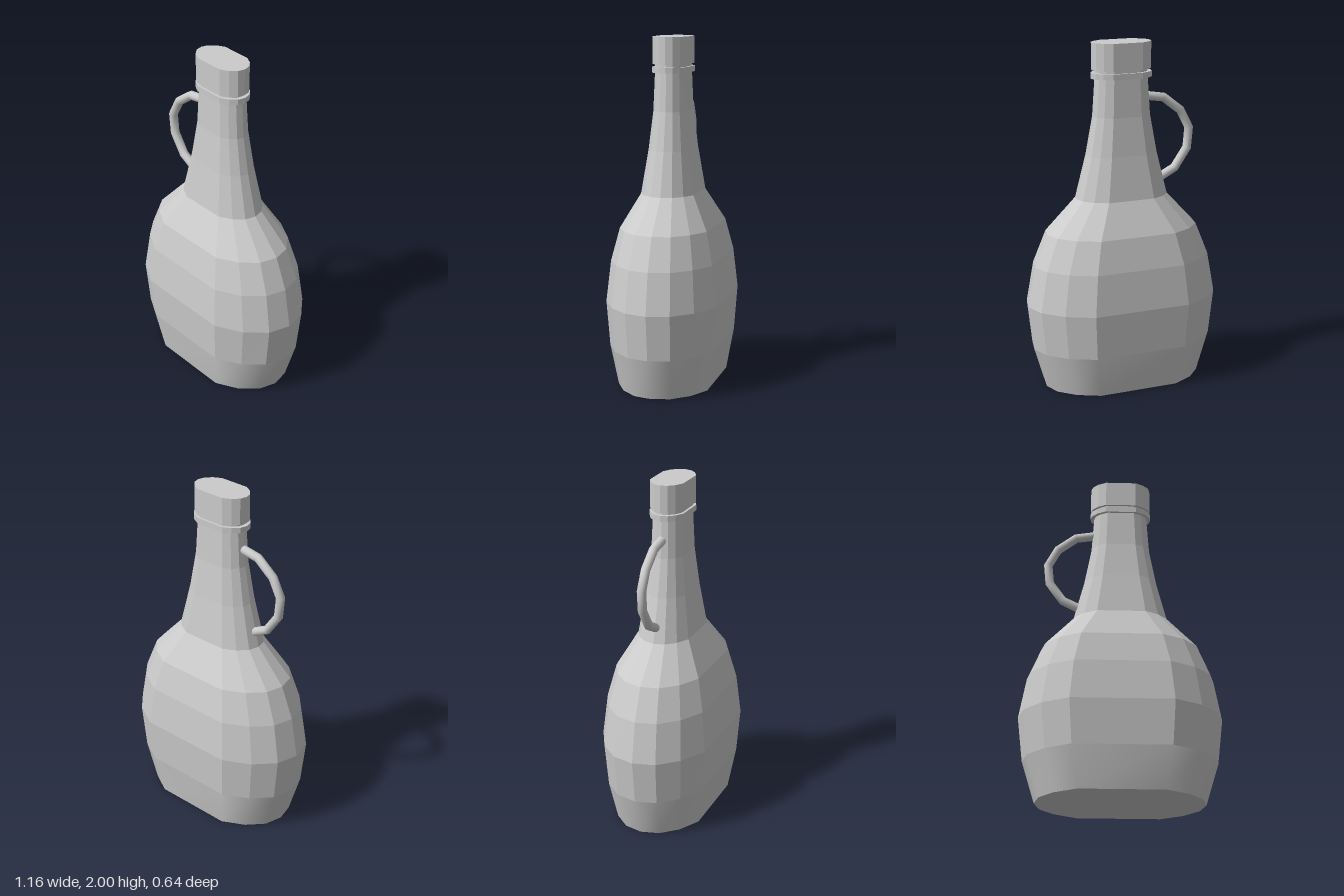
import * as THREE from 'three';

// Quarter of the 14-sided stadium-like cross-section, scaled to half width 1 and half depth 1
const quarter = [[1, 0], [0.943, 0.4], [0.765, 0.745], [0.5, 1]];
const mirrorX = quarter.map(([x, z]) => [-x, z]).reverse();
const front = [...quarter, ...mirrorX];
const section = [...front, ...front.slice(1, -1).reverse().map(([x, z]) => [x, -z])];

// Skins rows of [y, halfWidth, halfDepth] from bottom to top; a row of size 0 closes an end
function loft(rows, smooth = false) {
  const n = section.length;
  const positions = [], index = [];
  for (const [y, w, d] of rows) {
    for (const [x, z] of section) positions.push(x * w, y, z * d);
  }
  for (let r = 0; r < rows.length - 1; r++) {
    for (let i = 0; i < n; i++) {
      const a = r * n + i, b = r * n + (i + 1) % n;
      if (rows[r][1] > 0) index.push(a, a + n, b);
      if (rows[r + 1][1] > 0) index.push(b, a + n, b + n);
    }
  }
  let geometry = new THREE.BufferGeometry();
  geometry.setAttribute('position', new THREE.Float32BufferAttribute(positions, 3));
  geometry.setIndex(index);
  if (!smooth) geometry = geometry.toNonIndexed();
  geometry.computeVertexNormals();
  return geometry;
}

export function createModel() {
  const group = new THREE.Group();
  const material = new THREE.MeshStandardMaterial({ color: 0xcccccc });
  const add = (name, geometry) => {
    const mesh = new THREE.Mesh(geometry, material);
    mesh.name = name;
    group.add(mesh);
  };

  // Bottle: flat underside, smooth lower band, faceted belly and neck
  add('underside', loft([[0, 0, 0], [0, 0.475, 0.265]]));
  add('lowerBand', loft([[0, 0.475, 0.265], [0.24, 0.548, 0.303]], true));
  add('bellyAndNeck', loft([
    [0.24, 0.548, 0.303], [0.5, 0.578, 0.32], [0.735, 0.535, 0.297],
    [0.92, 0.458, 0.255], [1.11, 0.278, 0.155], [1.36, 0.214, 0.119],
    [1.58, 0.173, 0.096], [1.8, 0.158, 0.088], [1.85, 0.158, 0.088],
  ]));

  // Ring below the cap, and the cap
  const slab = (y0, y1, w, d) => loft([[y0, 0, 0], [y0, w, d], [y1, w, d], [y1, 0, 0]]);
  add('neckRing', slab(1.797, 1.83, 0.182, 0.102));
  add('cap', slab(1.845, 2, 0.178, 0.1));

  // Loop handle on the right side, one straight piece between each pair of points
  const path = [
    [-0.15, 1.682], [-0.265, 1.664], [-0.373, 1.582], [-0.429, 1.476],
    [-0.418, 1.357], [-0.339, 1.243], [-0.235, 1.19],
  ].map(([x, y]) => new THREE.Vector3(x, y, 0));
  const curve = new THREE.CatmullRomCurve3(path);
  curve.getPointAt = curve.getPoint;
  curve.getTangentAt = curve.getTangent;
  add('handle', new THREE.TubeGeometry(curve, path.length - 1, 0.026, 12));

  // Rounded plugs close the two handle ends
  for (const end of [path[0], path[path.length - 1]]) {
    add('handleEnd', new THREE.SphereGeometry(0.025, 12, 8).translate(end.x, end.y, 0));
  }
  return group;
}
